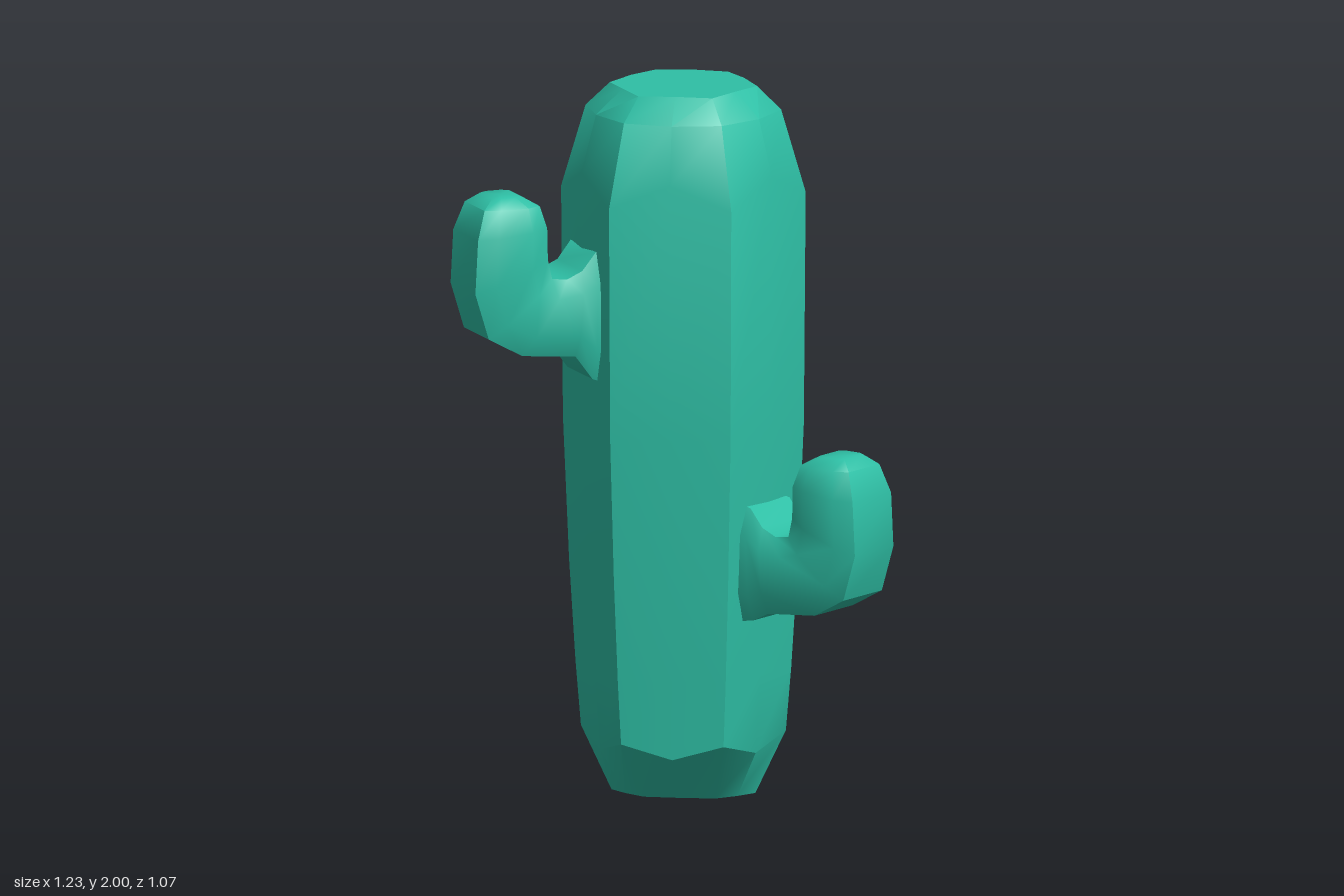
import * as THREE from 'three';
import { toCreasedNormals } from 'three/addons/utils/BufferGeometryUtils.js';

const CENTRE_Z = 0.125;

// Skin a list of rings (each counter-clockwise seen from the far end) and close both ends.
function loft(rings, crease) {
  const n = rings[0].length;
  const pos = [];
  const tri = (...pts) => pts.forEach((p) => pos.push(p.x, p.y, p.z));
  for (let i = 0; i < rings.length - 1; i++) {
    for (let j = 0; j < n; j++) {
      const k = (j + 1) % n;
      const a = rings[i][j], b = rings[i][k], c = rings[i + 1][k], d = rings[i + 1][j];
      tri(a, b, c);
      tri(a, c, d);
    }
  }
  const middle = (ring) => ring.reduce((s, p) => s.add(p), new THREE.Vector3()).divideScalar(n);
  const first = rings[0], last = rings[rings.length - 1];
  const m0 = middle(first), m1 = middle(last);
  for (let j = 0; j < n; j++) {
    const k = (j + 1) % n;
    tri(m0, first[k], first[j]);
    tri(m1, last[j], last[k]);
  }
  const g = new THREE.BufferGeometry();
  g.setAttribute('position', new THREE.Float32BufferAttribute(pos, 3));
  return toCreasedNormals(g, crease);
}

// Six-ribbed trunk: corner radius and height, face-middle radius and height, depth factor
function trunkGeometry() {
  const profile = [
    [0.2, 0, 0.18, 0, 0.5],
    [0.285, 0.18, 0.25, 0.14, 1],
    [0.3, 0.36, 0.265, 0.36, 1],
    [0.318, 0.65, 0.285, 0.65, 1],
    [0.335, 1.05, 0.3, 1.05, 1],
    [0.34, 1.7, 0.306, 1.77, 1],
    [0.272, 1.93, 0.262, 1.93, 1],
    [0.205, 1.99, 0.182, 1.995, 1],
  ];
  const rings = profile.map(([rc, yc, rm, ym, depth]) =>
    Array.from({ length: 12 }, (_, j) => {
      const a = (j * Math.PI) / 6;
      const r = j % 2 ? rm : rc;
      return new THREE.Vector3(r * Math.cos(a), j % 2 ? ym : yc, -r * depth * Math.sin(a));
    }));
  rings[rings.length - 1].forEach((p) => { p.y = 2 - (2 - p.y) * 0.5; });
  return loft(rings, 0.6);
}

// Elbow-shaped arm along +x; y = 0 is the underside of the elbow
function armGeometry(rootDrop) {
  // outer x, outer y, inner x, inner y, half width
  const sections = [
    [0.22, -rootDrop, 0.22, 0.3, 0.115],
    [0.31, -rootDrop * 0.7, 0.3, 0.28, 0.115],
    [0.36, -0.01, 0.34, 0.23, 0.113],
    [0.52, 0.005, 0.385, 0.21, 0.113],
    [0.62, 0.06, 0.43, 0.215, 0.113],
    [0.66, 0.19, 0.443, 0.27, 0.113],
    [0.652, 0.34, 0.445, 0.36, 0.113],
    [0.625, 0.42, 0.46, 0.42, 0.09],
    [0.59, 0.447, 0.505, 0.447, 0.055],
  ];
  const outline = [[1, -0.78], [1, 0.78], [0.5, 1], [-0.5, 1], [-1, 0.78], [-1, -0.78], [-0.5, -1], [0.5, -1]];
  const rings = sections.map(([ox, oy, ix, iy, w]) =>
    outline.map(([u, v]) => new THREE.Vector3(
      (ox + ix) / 2 + (u * (ox - ix)) / 2,
      (oy + iy) / 2 + (u * (oy - iy)) / 2,
      -v * w)));
  return loft(rings, 0.75);
}

export function createModel() {
  const model = new THREE.Group();
  model.name = 'cactus';
  const green = new THREE.MeshStandardMaterial({ color: 0x2ebfa5 });

  const trunk = new THREE.Mesh(trunkGeometry(), green);
  trunk.name = 'trunk';
  trunk.position.z = CENTRE_Z;
  model.add(trunk);

  // Three arms a third of a turn apart, at rising heights
  const arms = [
    ['leftArm', -30, 0.572, 0.05],
    ['backArm', 90, 0.91, 0.07],
    ['rightArm', 210, 1.283, 0.11],
  ];
  for (const [name, degrees, y, rootDrop] of arms) {
    const arm = new THREE.Mesh(armGeometry(rootDrop), green);
    arm.name = name;
    arm.position.set(0, y, CENTRE_Z);
    arm.rotation.y = THREE.MathUtils.degToRad(degrees);
    model.add(arm);
  }
  return model;
}
